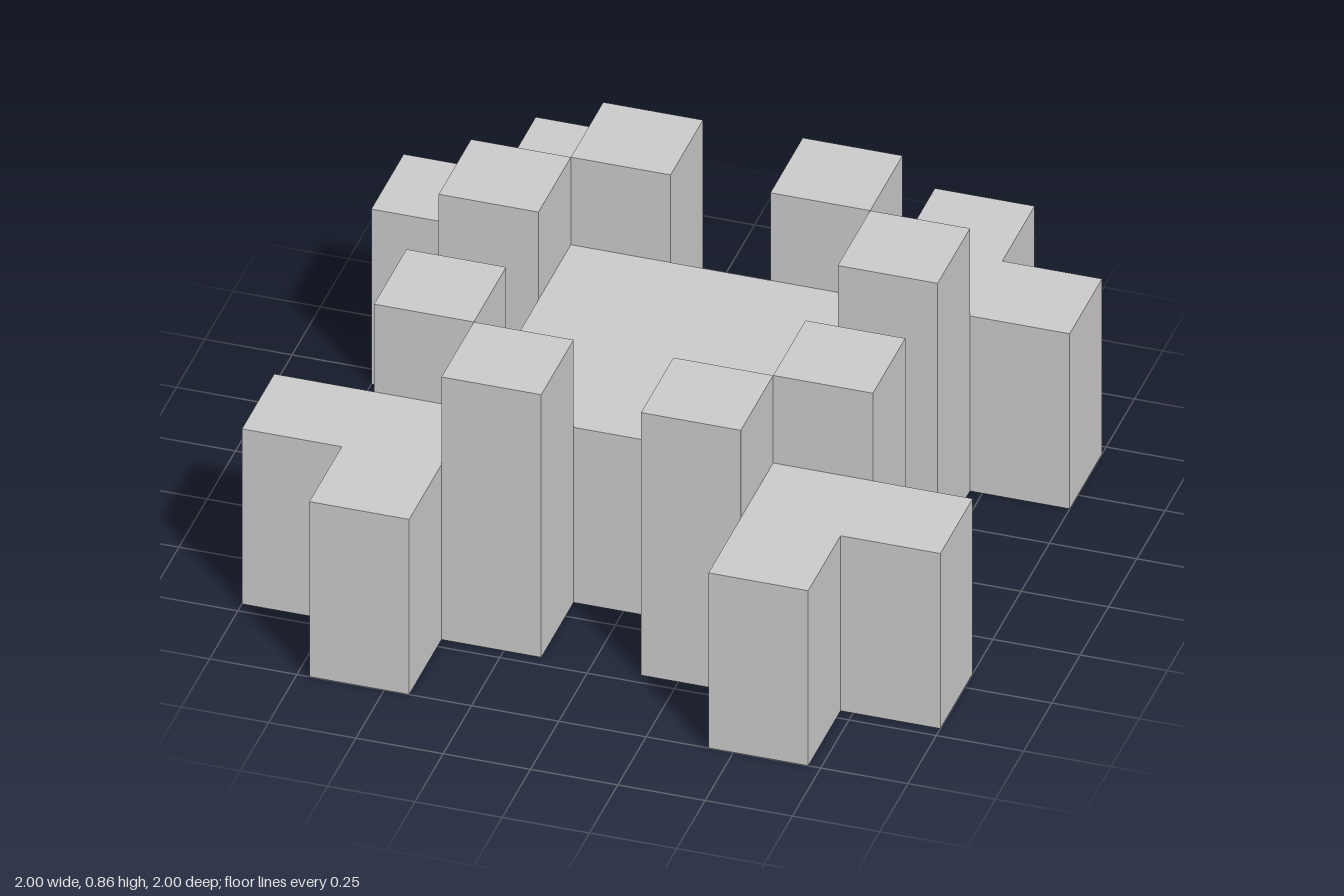
import * as THREE from 'three';
import { mergeGeometries } from 'three/addons/utils/BufferGeometryUtils.js';

const U = 2 / 7; // side of one grid cell
const LOW = 2 * U, TALL = 3 * U;

// Height of the model over grid cell (i, j), each from -3 to 3
function heightAt(i, j) {
  const a = Math.abs(i), b = Math.abs(j);
  if (a <= 1 && b <= 1) return LOW;                // core
  if (a + b === 3 && a * b === 2) return TALL;     // towers
  if ((a === 2 && b === 2) || (a * b === 6 && a + b === 5)) return LOW; // corners
  return 0;
}

// Outer skin of a group of cells: top, bottom and only the exposed walls
function skin(cells) {
  const faces = [];
  for (const [i, j] of cells) {
    const x = i * U, z = j * U, h = heightAt(i, j);
    faces.push(new THREE.PlaneGeometry(U, U).rotateX(-Math.PI / 2).translate(x, h, z));
    faces.push(new THREE.PlaneGeometry(U, U).rotateX(Math.PI / 2).translate(x, 0, z));
    for (const [dx, dz] of [[0, 1], [1, 0], [0, -1], [-1, 0]]) {
      const base = heightAt(i + dx, j + dz);
      if (base >= h) continue;
      faces.push(new THREE.PlaneGeometry(U, h - base)
        .rotateY(Math.atan2(dx, dz))
        .translate(x + dx * U / 2, (h + base) / 2, z + dz * U / 2));
    }
  }
  return mergeGeometries(faces);
}

export function createModel() {
  const model = new THREE.Group();
  model.name = 'steppedBlock';
  const material = new THREE.MeshStandardMaterial({ color: 0xcccccc, flatShading: true });
  const add = (name, cells, parent) => {
    const mesh = new THREE.Mesh(skin(cells), material);
    mesh.name = name;
    parent.add(mesh);
  };

  // Square core
  const core = [];
  for (let i = -1; i <= 1; i++) for (let j = -1; j <= 1; j++) core.push([i, j]);
  add('core', core, model);

  // Four cross-shaped corners: a low L outside, two towers against the core
  for (const sx of [1, -1]) for (const sz of [1, -1]) {
    const corner = new THREE.Group();
    corner.name = (sz > 0 ? 'front' : 'back') + (sx > 0 ? 'Left' : 'Right') + 'Corner';
    add('outerStep', [[2 * sx, 2 * sz], [3 * sx, 2 * sz], [2 * sx, 3 * sz]], corner);
    add('endTower', [[sx, 2 * sz]], corner);
    add('sideTower', [[2 * sx, sz]], corner);
    model.add(corner);
  }
  return model;
}
